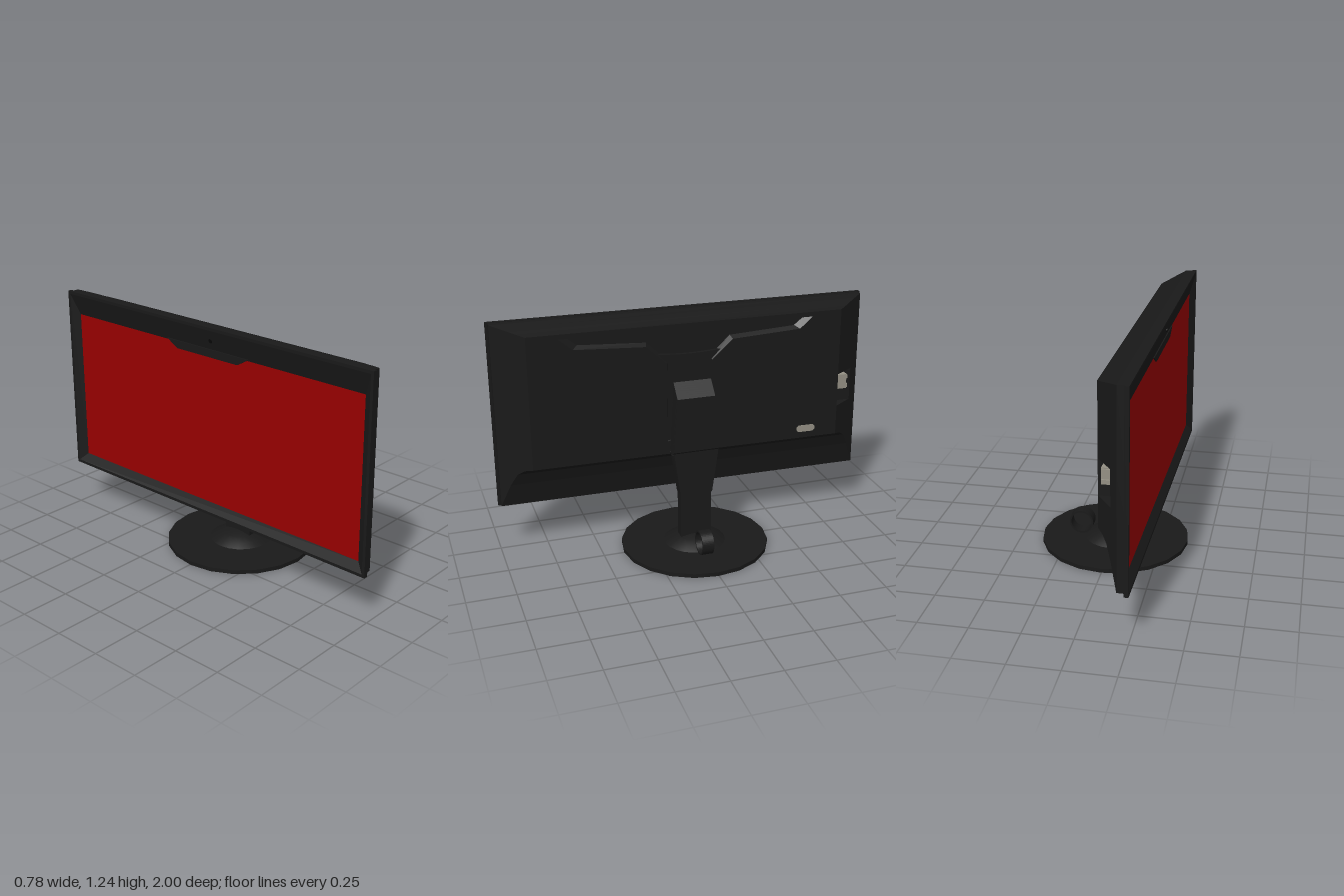
import * as THREE from 'three';

const mat = (name, color) =>
  Object.assign(new THREE.MeshStandardMaterial({ color }), { name });

// Skin between closed loops of [x, y, z] points, flat shaded; skip(k, i) leaves a quad open
function loft(loops, skip = () => false) {
  const pos = [];
  for (let k = 0; k + 1 < loops.length; k++) {
    const a = loops[k], b = loops[k + 1], n = a.length;
    for (let i = 0; i < n; i++) {
      if (skip(k, i)) continue;
      const j = (i + 1) % n;
      pos.push(...a[i], ...b[i], ...a[j], ...a[j], ...b[i], ...b[j]);
    }
  }
  const g = new THREE.BufferGeometry();
  g.setAttribute('position', new THREE.Float32BufferAttribute(pos, 3));
  g.computeVertexNormals();
  return g;
}

const rect = (h, y0, y1, z) => [[-h, y0, z], [h, y0, z], [h, y1, z], [-h, y1, z]];
const mirrored = (half) => [...half, ...half.map(([x, y]) => [-x, y]).reverse()];
const atZ = (pts, z) => pts.map(([x, y]) => [x, y, z]);
const outline = (pts) => pts.map(([x, y]) => new THREE.Vector2(x, y));
const plateGeo = (shape, depth) =>
  new THREE.ExtrudeGeometry(shape, { depth, bevelEnabled: false, curveSegments: 24 });

// Box whose vertices are moved by a rule: fn(x, z, isTop) -> [x, y, z], with x, z in -1..1
function shapedBox(fn) {
  const g = new THREE.BoxGeometry(2, 2, 2, 8, 1, 1).toNonIndexed();
  const p = g.attributes.position;
  for (let i = 0; i < p.count; i++) p.setXYZ(i, ...fn(p.getX(i), p.getZ(i), p.getY(i) > 0));
  g.computeVertexNormals();
  return g;
}

export function createModel() {
  const body = mat('charcoal plastic', 0x191919);
  const red = mat('red display', 0x980000);
  const metal = mat('pale metal', 0x949084);
  const dark = mat('black glass', 0x080808);

  const model = new THREE.Group();
  model.name = 'monitor';
  const add = (parent, name, geo, material, x = 0, y = 0, z = 0) => {
    const m = new THREE.Mesh(geo, material);
    m.name = name;
    m.position.set(x, y, z);
    parent.add(m);
    return m;
  };

  // Display head: built with its back towards +z, then swivelled a little past side-on
  const head = new THREE.Group();
  head.name = 'displayHead';
  head.rotation.y = Math.PI / 2 - 0.015;
  model.add(head);

  // Rear shell with sloped sides, a scooped lower edge and an opening for the ports
  const back = -0.092, pocketZ = -0.171, pocketY = [0.65, 0.83];
  const halfWidth = (z) => Math.min(0.988, 0.83 + 0.158 * (back - z) / 0.116);
  const ring = (z, y0, y1) => {
    const h = halfWidth(z);
    return atZ([[-h, y0], [h, y0], [h, pocketY[0]], [h, pocketY[1]], [h, y1], [-h, y1]], z);
  };
  add(head, 'rearShell', loft([
    ring(back, 0.488, 1.19),
    ring(-0.12, 0.478, 1.2),
    ring(-0.145, 0.452, 1.21),
    ring(pocketZ, 0.385, 1.22),
    ring(-0.208, 0.257, 1.233),
    ring(-0.244, 0.257, 1.233),
  ], (k, i) => k < 3 && i === 2), body);

  // Rear face with a recess shaped like a wide T
  const rim = mirrored([[0.12, 0.56], [0.12, 0.985], [0.23, 1.085], [0.6, 1.105], [0.67, 1.165]]);
  const floor = mirrored([[0.108, 0.575], [0.108, 0.995], [0.222, 1.1], [0.575, 1.12], [0.625, 1.16]]);
  const face = new THREE.Shape(outline(rect(0.83, 0.488, 1.19, 0)));
  face.holes.push(new THREE.Path(outline(rim)));
  add(head, 'rearFace', new THREE.ShapeGeometry(face), body, 0, 0, back);
  add(head, 'recessWalls', loft([atZ(floor, -0.118), atZ(rim, back)]), body);
  add(head, 'recessFloor', new THREE.ShapeGeometry(new THREE.Shape(outline(floor))), body, 0, 0, -0.118);

  // Cover filling the stem of the recess, with a gently dipped top edge
  const cover = new THREE.Shape(outline([[-0.118, 0.565], [0.118, 0.565], [0.118, 0.988], [0.165, 1.036]]));
  cover.quadraticCurveTo(0, 1.018, -0.165, 1.036);
  cover.lineTo(-0.118, 0.988);
  add(head, 'mountCover', plateGeo(cover, 0.02), body, 0, 0, -0.118);

  // Port pocket with a floor parallel to the rear face
  const wallX = 0.83, edgeX = halfWidth(pocketZ);
  const corners = [[wallX, pocketY[0]], [edgeX, pocketY[0]], [edgeX, pocketY[1]], [wallX, pocketY[1]]];
  add(head, 'portPocket', loft([
    corners.map(() => [0.88, 0.74, pocketZ]),
    atZ(corners, pocketZ),
    corners.map(([x, y]) => [x, y, x === wallX ? back : pocketZ]),
  ]), body);
  add(head, 'portBlock', new THREE.BoxGeometry(0.054, 0.08, 0.05), metal, 0.866, 0.775, -0.146);
  for (const y of [0.75, 0.8])
    add(head, 'portFlange', new THREE.BoxGeometry(0.07, 0.02, 0.046), metal, 0.866, y, -0.146);

  // Pale plate on the lower rear
  const pill = new THREE.Shape();
  pill.absarc(0.034, 0, 0.019, -Math.PI / 2, Math.PI / 2);
  pill.absarc(-0.034, 0, 0.019, Math.PI / 2, Math.PI * 1.5);
  add(head, 'rearPlate', plateGeo(pill, 0.002), metal, 0.653, 0.541, back);

  // Front frame: outer band, narrow rim, then a bezel sloping in to the screen
  add(head, 'frontFrame', loft([
    rect(0.985, 0.26, 1.22, -0.243),
    rect(1, 0.245, 1.235, -0.243),
    rect(1, 0.245, 1.235, -0.265),
    rect(0.985, 0.26, 1.22, -0.265),
    rect(0.942, 0.301, 1.11, -0.235),
  ]), body);
  const screen = add(head, 'screen', new THREE.PlaneGeometry(1.884, 0.809), red, 0, 0.7055, -0.235);
  screen.rotation.y = Math.PI;

  // Camera housing hanging below the top bezel
  const notch = new THREE.Shape(outline([[-0.2, 1.078], [0.2, 1.078], [0.27, 1.118], [-0.27, 1.118]]));
  add(head, 'cameraHousing', plateGeo(notch, 0.008), body, 0, 0, -0.243);
  const lens = add(head, 'cameraLens', new THREE.CylinderGeometry(0.011, 0.011, 0.006, 16), dark, -0.035, 1.165, -0.25);
  lens.rotation.x = Math.PI / 2 - 0.27;

  // Swivel mount between head and stand
  const mount = add(model, 'swivelMount', new THREE.LatheGeometry(
    outline([[0.088, 0], [0.088, 0.03], [0.07, 0.045], [0.07, 0.09]]), 24), body, -0.115, 0.77, 0.004);
  mount.rotation.z = -Math.PI / 2;

  // Stand column: slanted top housing, tapered sleeve, straight post
  const stand = new THREE.Group();
  stand.name = 'stand';
  stand.position.z = 0.005;
  model.add(stand);
  const seam = (x) => 0.545 - 0.02 * (1 - x * x);
  const columnX = (x) => 0.002 + x * 0.034;
  add(stand, 'columnHousing', shapedBox((x, z, top) =>
    top ? [columnX(x), 0.87 - x * 0.035, z * 0.1] : [columnX(x), seam(x), z * 0.121]), body);
  add(stand, 'columnSleeve', shapedBox((x, z, top) =>
    top ? [columnX(x), seam(x) - 0.005, z * 0.12] : [columnX(x), 0.302, z * 0.086]), body);
  add(stand, 'columnPost', new THREE.BoxGeometry(0.058, 0.27, 0.166), body, 0.001, 0.18, 0);

  // Round base with a shallow dome
  add(stand, 'base', new THREE.CylinderGeometry(0.388, 0.388, 0.021, 20), body, 0, 0.0105, 0);
  add(stand, 'baseDome', new THREE.LatheGeometry(
    outline([[0.165, 0.02], [0.13, 0.04], [0.09, 0.056], [0.045, 0.066], [0, 0.069]]), 20), body);

  // Cable ring standing on the base
  const loop = new THREE.Shape();
  loop.absarc(0, 0, 0.064, 0, Math.PI * 2);
  const bore = new THREE.Path();
  bore.absarc(0, 0, 0.055, 0, Math.PI * 2, true);
  loop.holes.push(bore);
  add(stand, 'cableRing', plateGeo(loop, 0.062), body, 0.181, 0.09, -0.028);

  return model;
}
